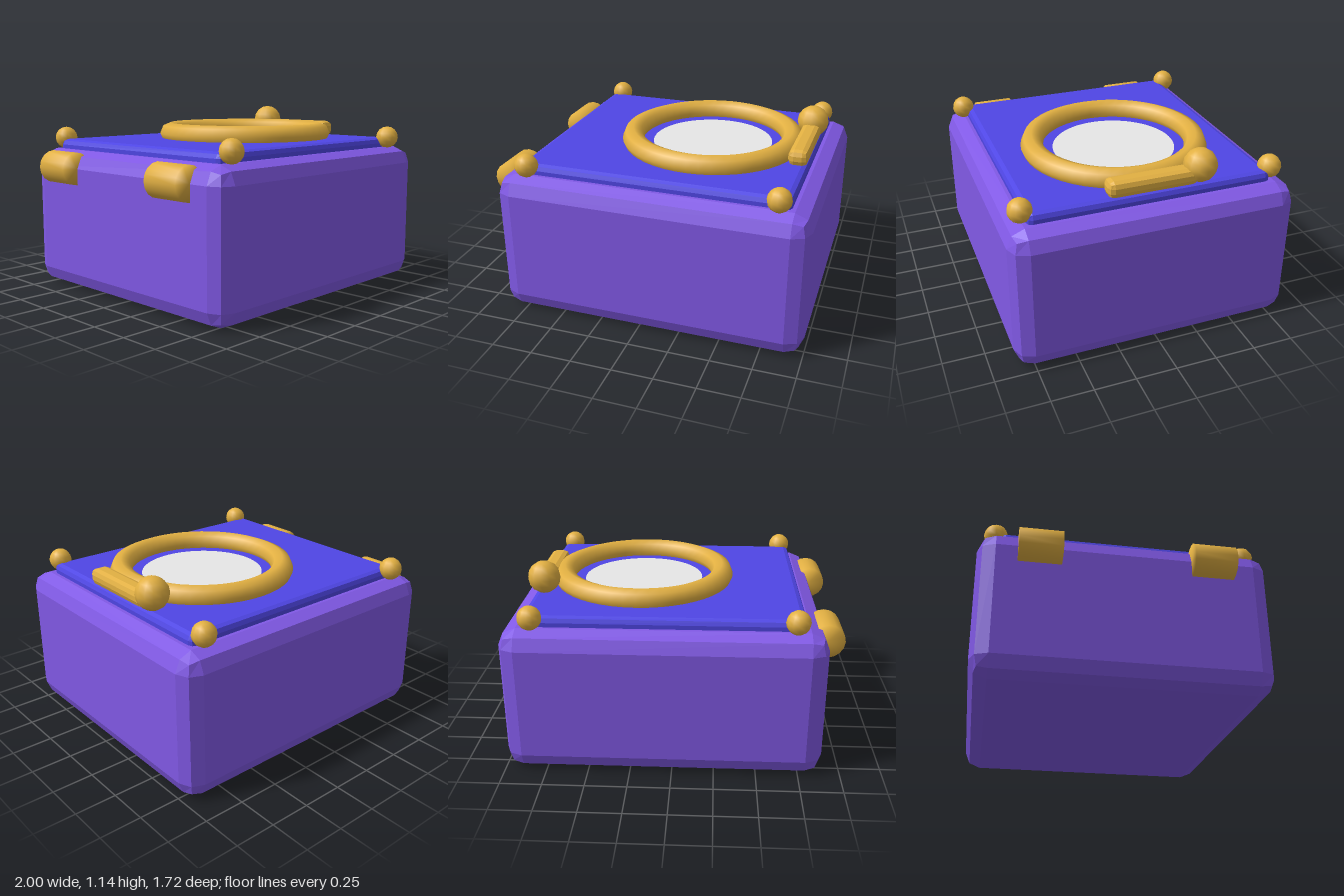
import * as THREE from 'three';
import { mergeVertices } from 'three/addons/utils/BufferGeometryUtils.js';

const mat = (name, color) => {
  const m = new THREE.MeshStandardMaterial({ color });
  m.name = name;
  return m;
};

// Box with a two-step faceted bevel: the outer grid lines are moved onto a rounded rim
function bevelBox(w, h, d, r) {
  const geo = new THREE.BoxGeometry(1, 1, 1, 3, 3, 3).toNonIndexed();
  const pos = geo.attributes.position;
  const inner = new THREE.Vector3(w / 2 - r, h / 2 - r, d / 2 - r);
  const rim = (v) => (Math.abs(v) > 0.4 ? Math.sign(v) : 0);
  const p = new THREE.Vector3();
  const out = new THREE.Vector3();
  for (let i = 0; i < pos.count; i++) {
    p.fromBufferAttribute(pos, i);
    out.set(rim(p.x), rim(p.y), rim(p.z)).normalize().multiplyScalar(r);
    p.set(Math.sign(p.x), Math.sign(p.y), Math.sign(p.z)).multiply(inner).add(out);
    pos.setXYZ(i, p.x, p.y, p.z);
  }
  geo.computeVertexNormals();
  return geo;
}

// Cylinder along z whose shading runs smoothly over the end caps
function softCylinder(r, length) {
  const geo = new THREE.CylinderGeometry(r, r, length, 16).rotateX(Math.PI / 2);
  geo.deleteAttribute('normal');
  geo.deleteAttribute('uv');
  const merged = mergeVertices(geo);
  merged.computeVertexNormals();
  return merged;
}

export function createModel() {
  const model = new THREE.Group();
  model.name = 'chest';
  const purple = mat('body purple', 0x8159e6);
  const blue = mat('lid blue', 0x4f46e5);
  const gold = mat('gold', 0xe2b042);
  const grey = mat('disc pale grey', 0xe8e8e8);

  const add = (name, geo, material, x, y, z) => {
    const mesh = new THREE.Mesh(geo, material);
    mesh.name = name;
    mesh.position.set(x, y, z);
    model.add(mesh);
  };

  // Main box and lid plate
  add('body', bevelBox(1.89, 0.885, 1.72, 0.105), purple, 0.052, 0.4425, 0);
  add('lid', bevelBox(1.64, 0.1, 1.47, 0.035), blue, 0.05, 0.895, 0);

  // Round window with its ring
  add('windowDisc', new THREE.CylinderGeometry(0.378, 0.378, 0.008, 64), grey, 0.22, 0.943, 0);
  const ring = new THREE.TorusGeometry(0.505, 0.07, 8, 48).rotateX(-Math.PI / 2);
  add('windowRing', ring, gold, 0.22, 0.975, 0);

  // Latch bar and knob
  add('latchBar', bevelBox(0.12, 0.1, 0.54, 0.035), gold, 0.81, 0.99, 0);
  add('latchKnob', new THREE.SphereGeometry(0.1, 12, 8), gold, 0.808, 1.037, -0.3);

  // Corner studs and hinges
  const stud = new THREE.SphereGeometry(0.071, 12, 8);
  const hinge = softCylinder(0.102, 0.25);
  for (const s of [-1, 1]) {
    add('cornerStud', stud, gold, -0.708, 0.95, s * 0.757);
    add('cornerStud', stud, gold, 0.806, 0.95, s * 0.757);
    add('hinge', hinge, gold, -0.898, 0.783, s * 0.505);
  }
  return model;
}
